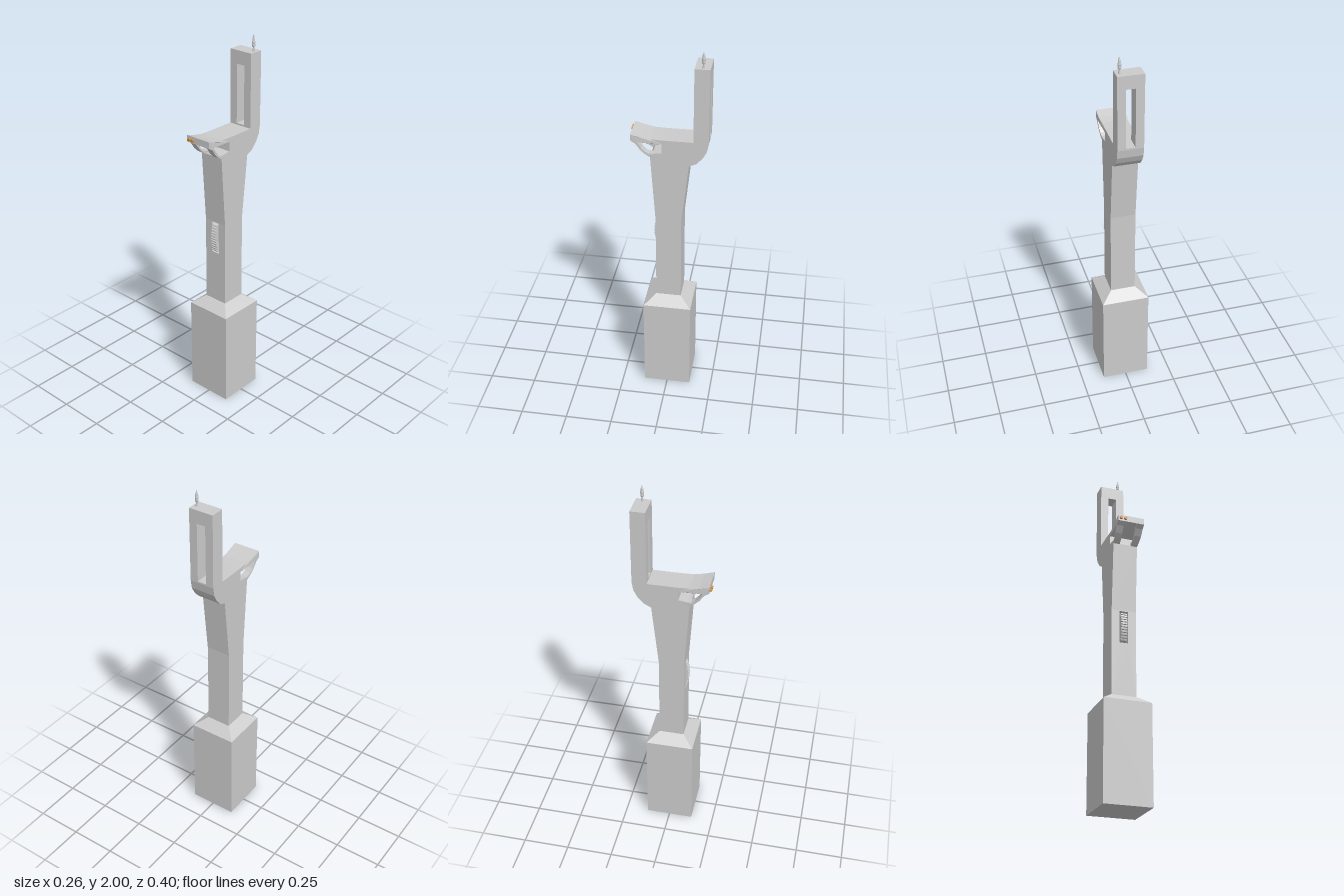
import * as THREE from 'three';

const grey = new THREE.MeshStandardMaterial({ color: 0xcccccc, flatShading: true });
const smoothGrey = new THREE.MeshStandardMaterial({ color: 0xcccccc });
const amber = new THREE.MeshStandardMaterial({ color: 0xd08a35 });
const HALF = 0.067;

const toShape = (pts) => new THREE.Shape(pts.map(([a, b]) => new THREE.Vector2(a, b)));

// Extrudes a side profile of [z, y] points across x, centred on x
function sideExtrude(pts, width, x = 0) {
  const g = new THREE.ExtrudeGeometry(toShape(pts), { depth: width, bevelEnabled: false });
  g.translate(0, 0, -width / 2);
  g.rotateY(-Math.PI / 2);
  return g.translate(x, 0, 0);
}

// Front-facing plate with a rectangular slot; rectangles are [x0, x1, y0, y1]
function slottedPlate(outer, slot, z0, z1) {
  const rect = ([a, b, c, d]) => [[a, c], [b, c], [b, d], [a, d]];
  const shape = toShape(rect(outer));
  shape.holes.push(toShape(rect(slot)));
  const g = new THREE.ExtrudeGeometry(shape, { depth: z1 - z0, bevelEnabled: false });
  return g.translate(0, 0, z0);
}

// Widens the front overhang slightly towards its lip
function flareFront(g) {
  const p = g.attributes.position;
  for (let i = 0; i < p.count; i++) {
    const t = THREE.MathUtils.smoothstep(p.getZ(i), 0.09, 0.16);
    p.setX(i, p.getX(i) * (1 + 0.09 * t));
  }
  g.computeVertexNormals();
  return g;
}

export function createModel() {
  const model = new THREE.Group();
  const add = (name, geometry, material = grey) => {
    const mesh = new THREE.Mesh(geometry, material);
    mesh.name = name;
    model.add(mesh);
    return mesh;
  };

  // Square plinth with sloped shoulders
  const r = Math.SQRT2;
  add('base', new THREE.LatheGeometry(
    [[0, 0], [0.128 * r, 0], [0.128 * r, 0.53], [HALF * r, 0.575]].map(([a, b]) => new THREE.Vector2(a, b)),
    4, Math.PI / 4));

  // Shaft, flared head, rear elbow and front overhang
  add('body', flareFront(sideExtrude([
    [-HALF, 0.57], [0.047, 0.57], [0.047, 1.048], [HALF, 1.048],
    [0.093, 1.43], [0.08, 1.447], [0.035, 1.453], [0.033, 1.503],
    [0.09, 1.503], [0.16, 1.51], [0.19, 1.515], [0.19, 1.55],
    [0.14, 1.536], [0.09, 1.528], [0.03, 1.526], [-0.124, 1.526],
    [-0.2, 1.526], [-0.192, 1.48], [-0.172, 1.442], [-0.14, 1.407],
    [-0.103, 1.39], [-HALF, 1.05],
  ], 2 * HALF)));

  // Front plate of the shaft with the dial slot
  add('dialPlate', slottedPlate([-HALF, HALF, 0.57, 1.048], [-0.025, 0.023, 0.865, 1.043], 0.047, HALF));

  // Upright with its long through-slot
  add('upright', slottedPlate([-HALF, HALF, 1.526, 1.918], [-0.024, 0.024, 1.535, 1.848], -0.2, -0.124));

  // Paired curved struts below the overhang
  for (const side of [-1, 1]) {
    add(side > 0 ? 'leftStrut' : 'rightStrut', flareFront(sideExtrude([
      [0.07, 1.435], [0.093, 1.428], [0.118, 1.443], [0.142, 1.466],
      [0.165, 1.5], [0.19, 1.516], [0.157, 1.512], [0.136, 1.476],
      [0.118, 1.457], [0.1, 1.447], [0.07, 1.447],
    ], 0.035, side * 0.0495)));
  }

  // Ribbed thumb dial: an arc with square teeth
  const dial = [[0.046, 0.868]];
  const R = 0.25, teeth = 11;
  for (let i = 0; i < teeth; i++) {
    for (const [f, h] of [[0.05, 0], [0.2, 0.005], [0.6, 0.005], [0.75, 0]]) {
      const a = -0.33 + 0.66 * (i + f) / teeth;
      dial.push([0.078 - R + (R + h) * Math.cos(a), 0.954 + R * Math.sin(a)]);
    }
  }
  dial.push([0.046, 1.04]);
  add('thumbDial', sideExtrude(dial, 0.034, -0.001));

  // Two contact pins on the lip
  for (const x of [-0.058, -0.034]) {
    const pin = add('contactPin', new THREE.CylinderGeometry(0.008, 0.008, 0.016, 16), amber);
    pin.rotation.x = Math.PI / 2;
    pin.position.set(x, 1.531, 0.193);
  }

  // Slim turned antenna on top of the upright
  const profile = [
    [0.006, 0], [0.006, 0.012], [0.004, 0.014], [0.004, 0.024], [0.008, 0.028],
    [0.009, 0.036], [0.006, 0.04], [0.009, 0.044], [0.009, 0.052], [0.006, 0.056],
    [0.007, 0.06], [0.006, 0.068], [0.003, 0.074], [0.003, 0.083], [0, 0.085],
  ].map(([a, b]) => new THREE.Vector2(a, b));
  add('antenna', new THREE.LatheGeometry(profile, 16), smoothGrey).position.set(0.047, 1.915, -0.165);

  return model;
}
